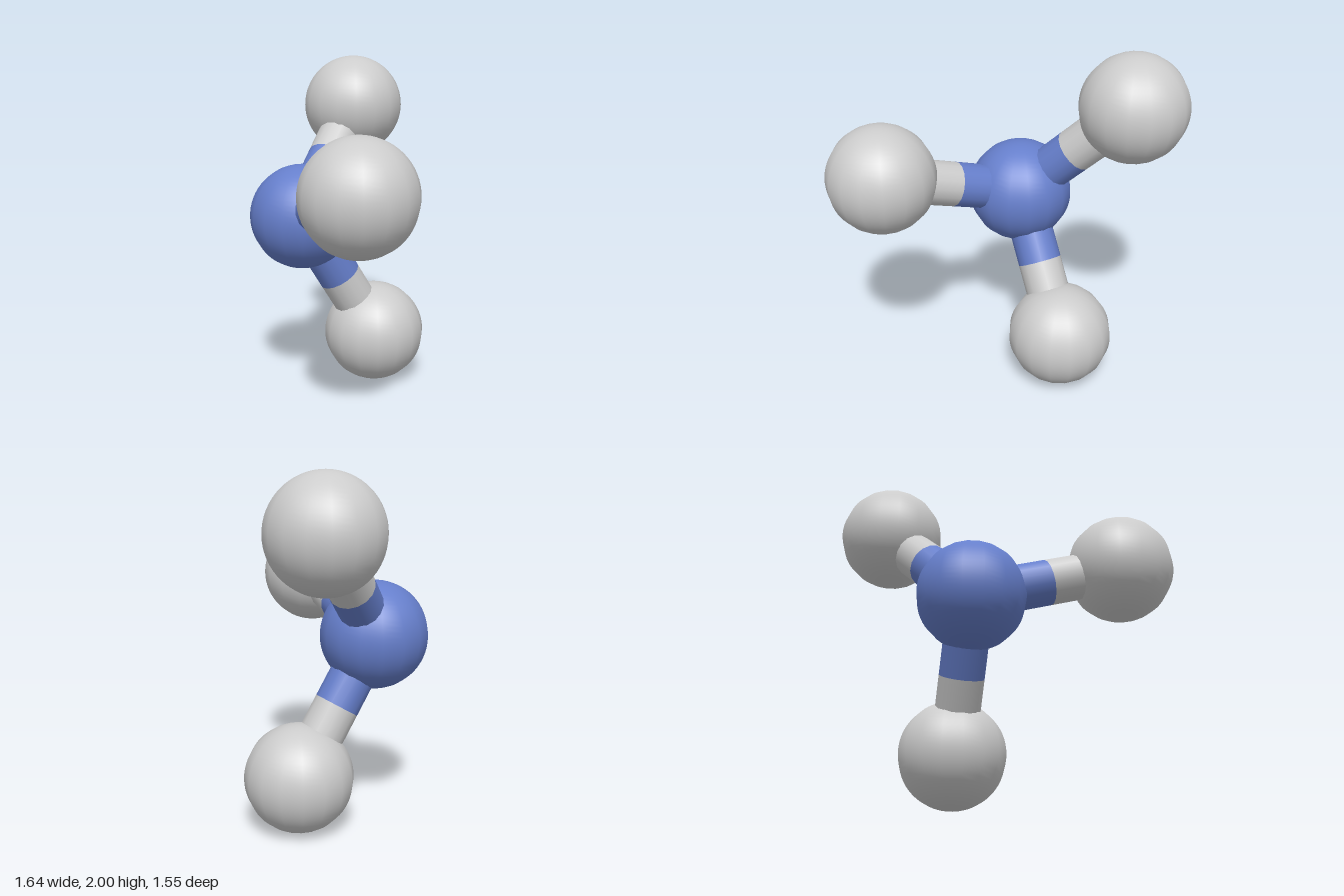
import * as THREE from 'three';

const BALL_RADIUS = 0.307;
const ROD_RADIUS = 0.13;

export function createModel() {
  const model = new THREE.Group();
  model.name = 'moleculeModel';

  const blue = new THREE.MeshStandardMaterial({ color: 0x667fcc });
  blue.name = 'blue';
  const grey = new THREE.MeshStandardMaterial({ color: 0xcccccc });
  grey.name = 'lightGrey';

  const centre = new THREE.Vector3(-0.127, 1.085, -0.305);
  const outer = {
    upper: new THREE.Vector3(0.513, 1.693, -0.468),
    front: new THREE.Vector3(-0.518, 1.341, 0.47),
    lower: new THREE.Vector3(0.304, 0.312, -0.114),
  };

  const ballGeometry = new THREE.SphereGeometry(BALL_RADIUS, 16, 32);
  function addBall(name, position, material) {
    const ball = new THREE.Mesh(ballGeometry, material);
    ball.name = name;
    ball.position.copy(position);
    model.add(ball);
  }

  // Cylinder running from one point to another
  function addRod(name, from, to, material) {
    const direction = to.clone().sub(from);
    const rod = new THREE.Mesh(
      new THREE.CylinderGeometry(ROD_RADIUS, ROD_RADIUS, direction.length(), 16, 1, true),
      material
    );
    rod.name = name;
    rod.position.copy(from).lerp(to, 0.5);
    rod.quaternion.setFromUnitVectors(new THREE.Vector3(0, 1, 0), direction.normalize());
    model.add(rod);
  }

  // Central atom, then three outer atoms on two-coloured bonds
  addBall('centralAtom', centre, blue);
  for (const [side, position] of Object.entries(outer)) {
    const middle = centre.clone().lerp(position, 0.5);
    addBall(side + 'Atom', position, grey);
    addRod(side + 'BondInner', centre, middle, blue);
    addRod(side + 'BondOuter', middle, position, grey);
  }

  return model;
}
